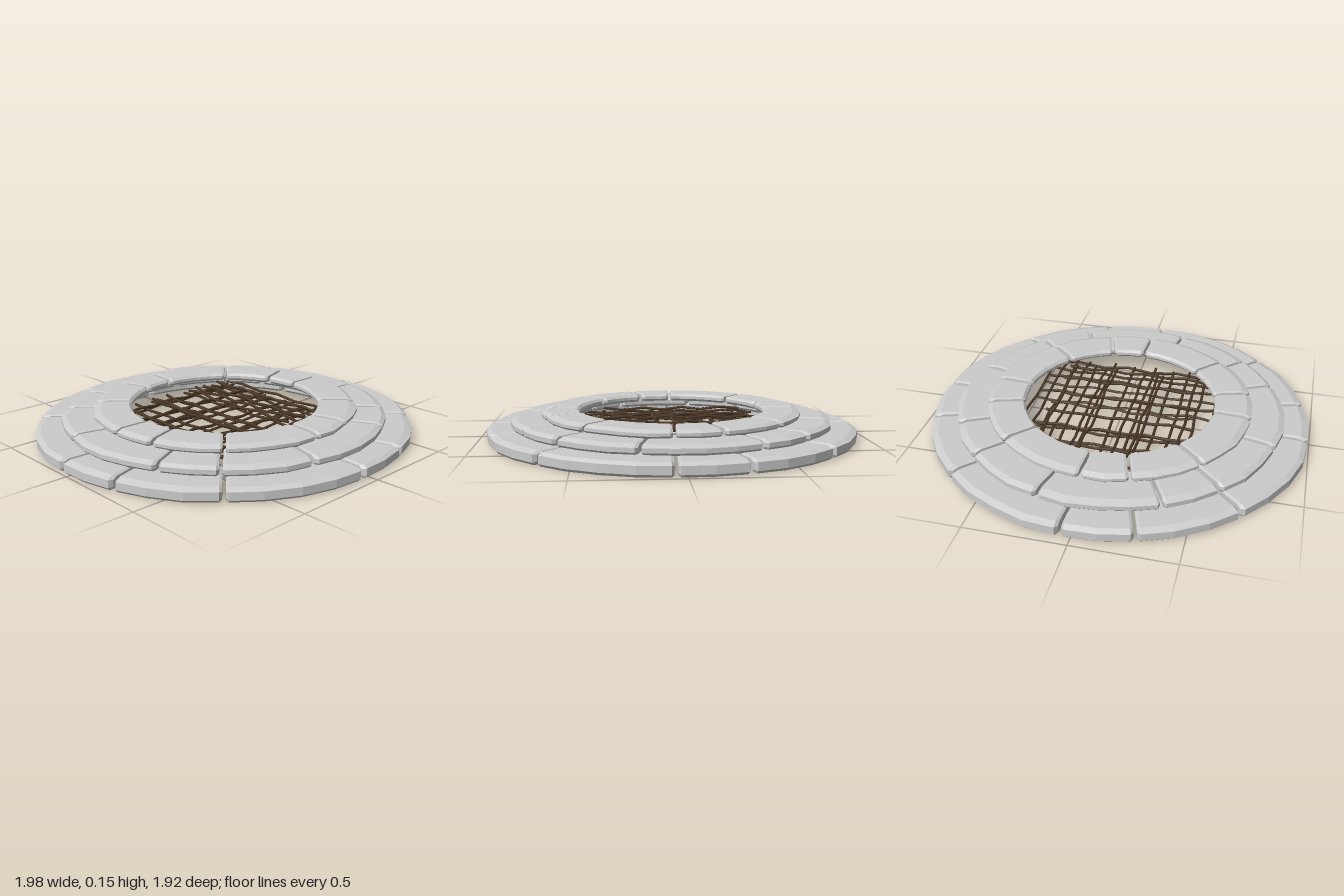
import * as THREE from 'three';

// small seeded generator for the hand-cut irregularity
function makeRandom(seed) {
  return () => {
    seed = (seed * 16807) % 2147483647;
    return seed / 2147483647;
  };
}

// one bevelled stone block: an eight-sided cross-section swept along an arc
function stoneGeometry(r0, r1, y0, y1, a0, a1, rand) {
  const bevel = 0.013, gap = 0.008;
  const chip = 0.02 + rand() * 0.02;
  const rm = (r0 + r1) / 2, ym = (y0 + y1) / 2;
  const spanDeg = THREE.MathUtils.radToDeg(a1 - a0);
  const steps = Math.max(2, Math.round(spanDeg / 11));
  const positions = [], index = [];

  const addSection = (angle, tangentShift, shrink, wobble) => {
    const ro = r1 + wobble;
    const profile = [
      [r0 + bevel, y0], [ro - bevel, y0], [ro, y0 + bevel], [ro, y1 - bevel],
      [ro - chip, y1], [r0 + bevel, y1], [r0, y1 - bevel], [r0, y0 + bevel],
    ];
    for (const [pr, py] of profile) {
      const r = THREE.MathUtils.lerp(pr, rm, shrink * 0.6);
      const y = THREE.MathUtils.lerp(py, ym, shrink);
      const a = angle + tangentShift / r;
      positions.push(r * Math.cos(a), y, r * Math.sin(a) * 0.97);
    }
  };

  addSection(a0, gap, 0.2, -0.008);
  addSection(a0, gap + bevel, 0, -0.004);
  for (let i = 1; i < steps; i++) {
    addSection(a0 + (a1 - a0) * i / steps, 0, 0, (rand() - 0.4) * 0.014);
  }
  addSection(a1, -gap - bevel, 0, -0.004);
  addSection(a1, -gap, 0.2, -0.008);

  const n = 8, sections = positions.length / 3 / n;
  for (let s = 0; s < sections - 1; s++) {
    for (let j = 0; j < n; j++) {
      const a = s * n + j, b = s * n + (j + 1) % n;
      index.push(a, b, a + n, b, b + n, a + n);
    }
  }
  const last = (sections - 1) * n;
  for (let j = 1; j < n - 1; j++) {
    index.push(0, j + 1, j, last, last + j, last + j + 1);
  }
  const geometry = new THREE.BufferGeometry();
  geometry.setAttribute('position', new THREE.Float32BufferAttribute(positions, 3));
  geometry.setIndex(index);
  geometry.computeVertexNormals();
  return geometry;
}

// a full course: blocks of 40, 30 and 20 degrees repeated four times
function stoneRing(name, r0, r1, y0, y1, startDeg, material, rand) {
  const ring = new THREE.Group();
  ring.name = name;
  let angle = startDeg;
  for (let i = 0; i < 12; i++) {
    const span = [40, 30, 20][i % 3];
    const mesh = new THREE.Mesh(
      stoneGeometry(r0, r1, y0, y1,
        THREE.MathUtils.degToRad(angle), THREE.MathUtils.degToRad(angle + span), rand),
      material);
    mesh.name = name + 'Stone';
    ring.add(mesh);
    angle += span;
  }
  return ring;
}

// parallel slightly crooked sticks, running along x or along z
function stickLayer(name, alongX, offsets, from, to, y, material, rand) {
  const layer = new THREE.Group();
  layer.name = name;
  offsets.forEach((offset, k) => {
    const points = [];
    for (let i = 0; i <= 7; i++) {
      const t = THREE.MathUtils.lerp(from, to, i / 7);
      const side = offset + (rand() - 0.5) * 0.014;
      const h = y + ((i + k) % 2 ? 0.006 : -0.006);
      points.push(alongX ? new THREE.Vector3(t, h, side) : new THREE.Vector3(side, h, t));
    }
    const curve = new THREE.CatmullRomCurve3(points);
    const stick = new THREE.Mesh(new THREE.TubeGeometry(curve, 14, 0.0075, 6), material);
    stick.name = 'stick';
    layer.add(stick);
    // end caps
    for (const [p, q] of [[points[0], points[1]], [points[7], points[6]]]) {
      const cap = new THREE.Mesh(new THREE.CircleGeometry(0.0075, 6), material);
      cap.name = 'stickEnd';
      cap.position.copy(p);
      cap.lookAt(p.clone().multiplyScalar(2).sub(q));
      layer.add(cap);
    }
  });
  return layer;
}

export function createModel() {
  const model = new THREE.Group();
  model.name = 'stoneFirePit';
  const stone = new THREE.MeshStandardMaterial({ color: 0xcccccc, flatShading: true });
  const wood = new THREE.MeshStandardMaterial({ color: 0x4b3826 });
  const rand = makeRandom(4711);

  // three stepped courses, the middle one turned to break the joints
  model.add(stoneRing('lowerRing', 0.7, 0.995, 0, 0.065, 3, stone, rand));
  model.add(stoneRing('middleRing', 0.6, 0.86, 0.062, 0.11, -26, stone, rand));
  model.add(stoneRing('upperRing', 0.5, 0.7, 0.106, 0.147, 3, stone, rand));

  // woven mat of sticks inside the opening: a wide grid below, a narrower one above
  const grid = new THREE.Group();
  grid.name = 'stickGrid';
  grid.add(stickLayer('wideCrossSticks', true,
    [-0.44, -0.3, -0.195, -0.17, 0.06, 0.14, 0.22, 0.31, 0.38, 0.47],
    -0.5, 0.49, 0.03, wood, rand));
  grid.add(stickLayer('wideLongSticks', false,
    [-0.49, -0.4, -0.3, -0.21, -0.095, 0.02, 0.145, 0.3, 0.365, 0.43, 0.49],
    -0.5, 0.48, 0.045, wood, rand));
  grid.add(stickLayer('narrowCrossSticks', true,
    [-0.37, -0.22, -0.1, -0.02, 0.085, 0.235, 0.36],
    -0.4, 0.38, 0.07, wood, rand));
  grid.add(stickLayer('narrowLongSticks', false,
    [-0.36, -0.16, -0.135, -0.06, 0.11, 0.165, 0.23, 0.335],
    -0.42, 0.36, 0.083, wood, rand));
  model.add(grid);
  return model;
}
